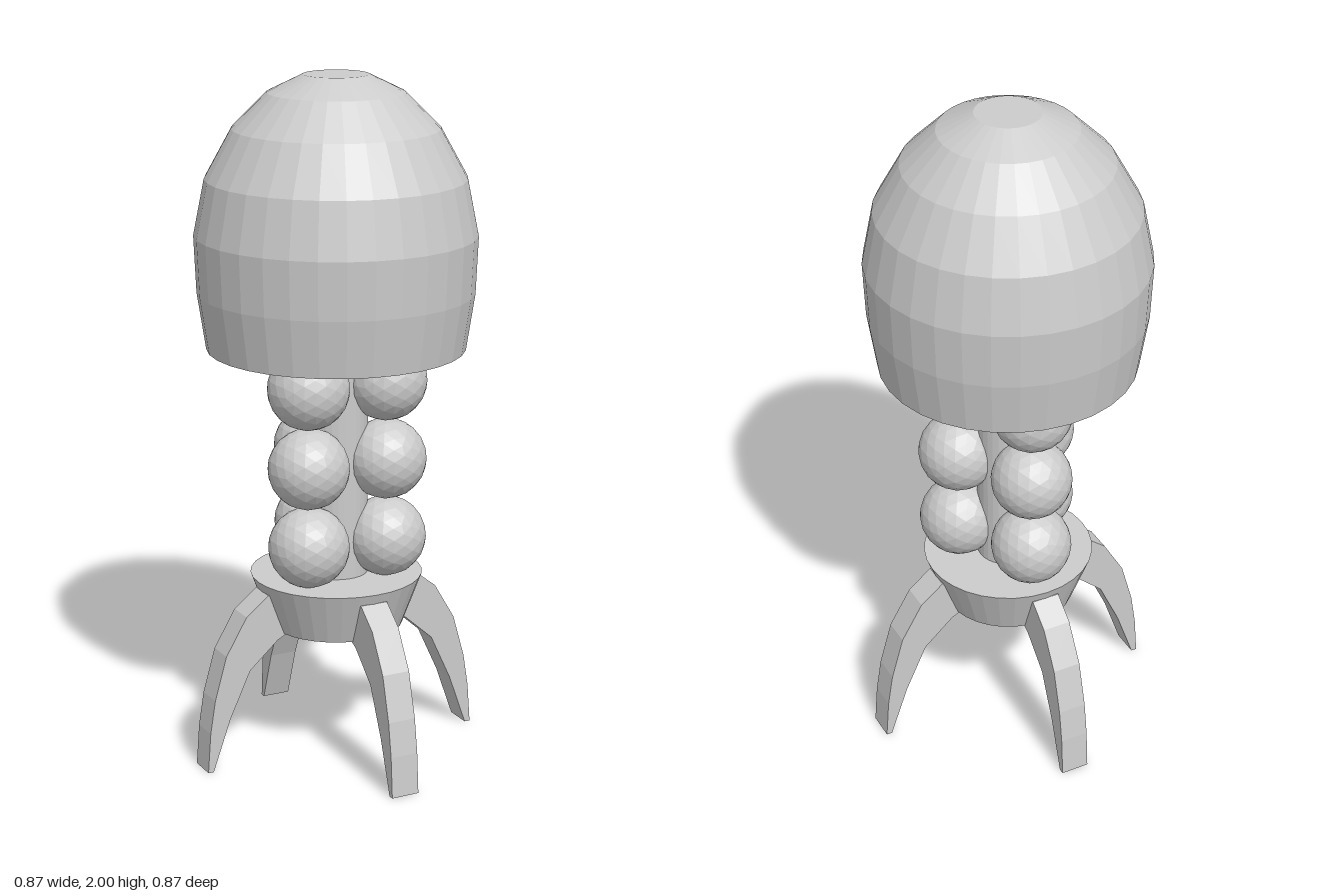
import * as THREE from 'three';

const material = new THREE.MeshStandardMaterial({ color: 0xcccccc, flatShading: true });

function part(parent, name, geometry) {
  const mesh = new THREE.Mesh(geometry, material);
  mesh.name = name;
  parent.add(mesh);
  return mesh;
}

const lathe = (points, sides) =>
  new THREE.LatheGeometry(points.map(([r, y]) => new THREE.Vector2(r, y)), sides);

export function createModel() {
  const model = new THREE.Group();
  model.name = 'rocketPod';

  // Faceted dome with a flat underside and flat cap
  part(model, 'dome', lathe([
    [0, 1.22], [0.372, 1.22], [0.397, 1.385], [0.404, 1.55], [0.372, 1.71],
    [0.295, 1.85], [0.195, 1.95], [0.093, 2], [0, 2],
  ], 32));

  // Central column
  const column = part(model, 'column', new THREE.CylinderGeometry(0.092, 0.092, 0.72, 32));
  column.position.y = 0.88;

  // Three tiers of three spheres around the column
  const tanks = new THREE.Group();
  tanks.name = 'sphereTanks';
  model.add(tanks);
  const ball = new THREE.IcosahedronGeometry(0.118, 3);
  for (const y of [0.655, 0.89, 1.125]) {
    for (let i = 0; i < 3; i++) {
      const a = Math.PI / 6 + (i * Math.PI * 2) / 3;
      part(tanks, 'sphereTank', ball).position.set(0.144 * Math.cos(a), y, 0.147 * Math.sin(a));
    }
  }

  // Tapered base ring, recessed underneath
  part(model, 'baseRing', lathe([
    [0, 0.435], [0.178, 0.435], [0.172, 0.39], [0.195, 0.39], [0.252, 0.545], [0, 0.545],
  ], 32));

  // Four curved legs
  const profile = new THREE.Shape([
    [0.18, 0.39], [0.21, 0.375], [0.3, 0.295], [0.365, 0.155], [0.42, 0], [0.437, 0],
    [0.428, 0.12], [0.412, 0.22], [0.375, 0.35], [0.31, 0.46], [0.24, 0.515], [0.2, 0.515],
  ].map(([x, y]) => new THREE.Vector2(x, y)));
  const leg = new THREE.ExtrudeGeometry(profile, { depth: 0.084, bevelEnabled: false });
  leg.translate(0, 0, -0.042);
  for (let i = 0; i < 4; i++) part(model, 'leg', leg).rotation.y = (i * Math.PI) / 2;

  return model;
}
